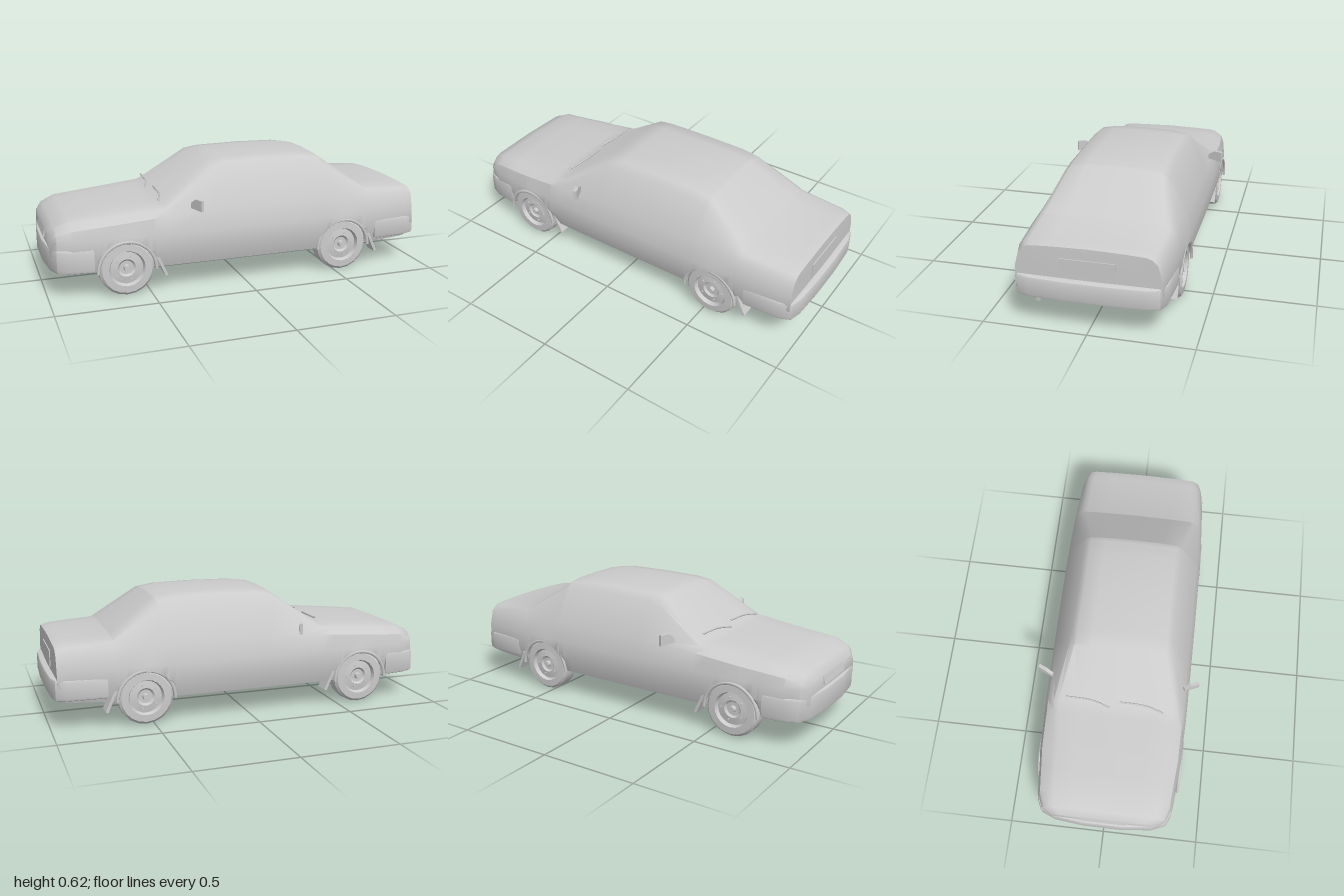
import * as THREE from 'three';
import { toCreasedNormals } from 'three/addons/utils/BufferGeometryUtils.js';

const material = new THREE.MeshStandardMaterial({ color: 0xcccccc, side: THREE.DoubleSide });
const AXLES = [-0.62, 0.54];
const ARCH = { rx: 0.143, ry: 0.145, y: 0.13 };

// x, floor y, widest half-width, belt y, belt half-width, upper edge y, upper edge half-width, centre top y
const STATIONS = [
  [-0.98, 0.16, 0.27, 0.29, 0.26, 0.315, 0.24, 0.325],
  [-0.95, 0.14, 0.32, 0.32, 0.305, 0.35, 0.27, 0.36],
  [-0.88, 0.13, 0.348, 0.345, 0.33, 0.38, 0.28, 0.39],
  [-0.65, 0.13, 0.37, 0.365, 0.35, 0.4, 0.29, 0.414],
  [-0.41, 0.13, 0.378, 0.385, 0.353, 0.42, 0.315, 0.432],
  [-0.16, 0.13, 0.38, 0.4, 0.352, 0.585, 0.255, 0.61],
  [-0.08, 0.13, 0.38, 0.4, 0.352, 0.6, 0.25, 0.62],
  [0.15, 0.13, 0.38, 0.4, 0.352, 0.605, 0.245, 0.625],
  [0.36, 0.13, 0.379, 0.4, 0.352, 0.6, 0.247, 0.62],
  [0.45, 0.13, 0.378, 0.4, 0.352, 0.585, 0.25, 0.606],
  [0.69, 0.13, 0.37, 0.39, 0.345, 0.425, 0.31, 0.44],
  [0.92, 0.14, 0.352, 0.38, 0.33, 0.41, 0.3, 0.428],
  [0.965, 0.155, 0.342, 0.37, 0.32, 0.4, 0.29, 0.414],
];

function stationAt(x) {
  let i = 0;
  while (i < STATIONS.length - 2 && x > STATIONS[i + 1][0]) i++;
  const a = STATIONS[i], b = STATIONS[i + 1];
  const t = (x - a[0]) / (b[0] - a[0]);
  return a.map((v, k) => v + (b[k] - v) * t);
}

// Closed cross-section, from the floor centre up the left side and down the right
function ringAt(x) {
  let [, floor, wide, beltY, beltW, edgeY, edgeW, topY] = stationAt(x);
  const sill = floor;
  for (const c of AXLES) {
    const u = (x - c) / ARCH.rx;
    if (Math.abs(u) < 1) floor = Math.max(floor, ARCH.y + ARCH.ry * Math.sqrt(1 - u * u));
  }
  const tuck = 0.03 * (1 - Math.min(1, (floor - sill) / 0.12));
  const half = [
    [wide - tuck, floor],
    [wide, Math.max(0.22, floor + 0.004)],
    [wide - 0.004, Math.max(Math.min(0.3, beltY - 0.02), floor + 0.01)],
    [beltW, beltY],
    [edgeW + (beltW - edgeW) * 0.12, beltY + (edgeY - beltY) * 0.88],
    [edgeW - 0.02, edgeY + (topY - edgeY) * 0.3],
    [edgeW * 0.6, topY - 0.004],
  ];
  const pts = [[0, floor], ...half, [0, topY], ...half.slice().reverse().map(([z, y]) => [-z, y])];
  return pts.map(([z, y]) => [x, y, z]);
}

function buildBody() {
  const xs = STATIONS.map((s) => s[0]);
  for (const c of AXLES) {
    for (let k = 0; k <= 14; k++) xs.push(c - ARCH.rx * Math.cos((k / 14) * Math.PI));
  }
  xs.sort((a, b) => a - b);
  const rings = xs.map(ringAt), n = rings[0].length;
  const pos = rings.flat(2), index = [];
  for (let i = 0; i < rings.length - 1; i++) {
    for (let j = 0; j < n; j++) {
      const a = i * n + j, b = i * n + ((j + 1) % n);
      index.push(a, a + n, b + n, a, b + n, b);
    }
  }
  // nose and tail faces
  const first = rings.length * n, last = (rings.length - 1) * n;
  pos.push(-0.985, 0.25, 0, 0.97, 0.28, 0);
  for (let j = 0; j < n; j++) {
    const k = (j + 1) % n;
    index.push(first, j, k, first + 1, last + k, last + j);
  }
  const g = new THREE.BufferGeometry();
  g.setAttribute('position', new THREE.Float32BufferAttribute(pos, 3));
  g.setIndex(index);
  return toCreasedNormals(g, 0.65);
}

// Wrap-around bumper from a half outline in plan (x, z)
function bumperGeometry(half, y, height) {
  const outline = [...half, ...half.slice().reverse().map(([x, z]) => [x, -z])];
  const shape = new THREE.Shape(outline.map(([x, z]) => new THREE.Vector2(x, z)));
  const g = new THREE.ExtrudeGeometry(shape, {
    depth: height - 0.03, bevelEnabled: true, bevelThickness: 0.015, bevelSize: 0.012, bevelSegments: 2,
  });
  g.rotateX(-Math.PI / 2).translate(0, y + 0.015, 0);
  return toCreasedNormals(g, 0.7);
}

export function createModel() {
  const car = new THREE.Group();
  car.name = 'sedan';
  const add = (name, geometry, x = 0, y = 0, z = 0, parent = car) => {
    const mesh = new THREE.Mesh(geometry, material);
    mesh.name = name;
    mesh.position.set(x, y, z);
    parent.add(mesh);
    return mesh;
  };

  add('body', buildBody());
  add('frontBumper', bumperGeometry(
    [[-0.79, 0.348], [-0.9, 0.335], [-0.945, 0.315], [-0.972, 0.25], [-0.988, 0.1]], 0.135, 0.12));
  add('rearBumper', bumperGeometry(
    [[0.74, 0.355], [0.92, 0.345], [0.965, 0.325], [0.98, 0.27], [0.988, 0.1]], 0.155, 0.105));

  // front grille, headlamps and rear plate
  const grille = add('grille', new THREE.BoxGeometry(0.015, 0.045, 0.24), -0.978, 0.293, 0);
  grille.rotation.z = -0.25;
  add('rearPlate', new THREE.BoxGeometry(0.012, 0.08, 0.26), 0.966, 0.318, 0);

  // wheels: rounded tyre with a dished rim and hub
  const wheelProfile = [
    [0.09, -0.05], [0.125, -0.048], [0.138, -0.035], [0.14, 0], [0.138, 0.035],
    [0.125, 0.048], [0.09, 0.05], [0.082, 0.03], [0.045, 0.036], [0.035, 0.026], [0, 0.026],
  ].map(([r, h]) => new THREE.Vector2(r, h));
  const wheelGeometry = toCreasedNormals(new THREE.LatheGeometry(wheelProfile, 20), 0.6);
  const hubGeometry = new THREE.CylinderGeometry(0.014, 0.018, 0.02, 8);
  const boltGeometry = new THREE.CylinderGeometry(0.006, 0.006, 0.012, 6);
  const lipGeometry = new THREE.TorusGeometry(0.148, 0.009, 6, 18, Math.PI);

  AXLES.forEach((x, i) => {
    const end = i === 0 ? 'front' : 'rear';
    add(end + 'Axle', new THREE.CylinderGeometry(0.02, 0.02, 0.54, 8).rotateX(Math.PI / 2), x, 0.12, 0);
    for (const s of [1, -1]) {
      const wheel = new THREE.Group();
      wheel.name = end + 'Wheel';
      wheel.position.set(x, 0.14, s * 0.311);
      wheel.rotation.x = s * Math.PI / 2;
      car.add(wheel);
      add('tyre', wheelGeometry, 0, 0, 0, wheel);
      add('hub', hubGeometry, 0, 0.034, 0, wheel);
      for (let k = 0; k < 5; k++) {
        const a = (k / 5) * Math.PI * 2;
        add('bolt', boltGeometry, Math.cos(a) * 0.06, 0.034, Math.sin(a) * 0.06, wheel);
      }
      const lip = add(end + 'ArchLip', lipGeometry, x, 0.13, s * 0.368);
      lip.scale.set(0.98, 1, 0.9);
      // mud flap hanging behind the wheel
      const flap = add(end + 'MudFlap', new THREE.BoxGeometry(0.014, 0.11, 0.075),
        x + 0.175, 0.135, s * 0.327);
      flap.rotation.z = 0.42;
    }
  });

  // door mirrors: tapered housing swept backwards
  for (const s of [1, -1]) {
    const shape = new THREE.Shape([[0, 0.415], [0.08, 0.41], [0.08, 0.465], [0.035, 0.465], [0, 0.44]]
      .map(([z, y]) => new THREE.Vector2(z * s, y)));
    const g = new THREE.ExtrudeGeometry(shape, { depth: 0.018, bevelEnabled: false });
    g.rotateY(-Math.PI / 2);
    const mirror = add('doorMirror', g, -0.275, 0, s * 0.34);
    mirror.rotation.y = s * 0.4;
  }

  // wipers resting at the foot of the windscreen
  for (const z of [-0.12, 0.16]) {
    const path = new THREE.CatmullRomCurve3([
      new THREE.Vector3(-0.43, 0.44, z + 0.09),
      new THREE.Vector3(-0.405, 0.452, z),
      new THREE.Vector3(-0.4, 0.456, z - 0.14),
    ]);
    add('wiper', new THREE.TubeGeometry(path, 8, 0.005, 5));
  }

  // exhaust tip
  add('exhaust', new THREE.CylinderGeometry(0.012, 0.012, 0.12, 8).rotateZ(Math.PI / 2 - 0.1), 0.92, 0.152, 0.23);
  return car;
}
